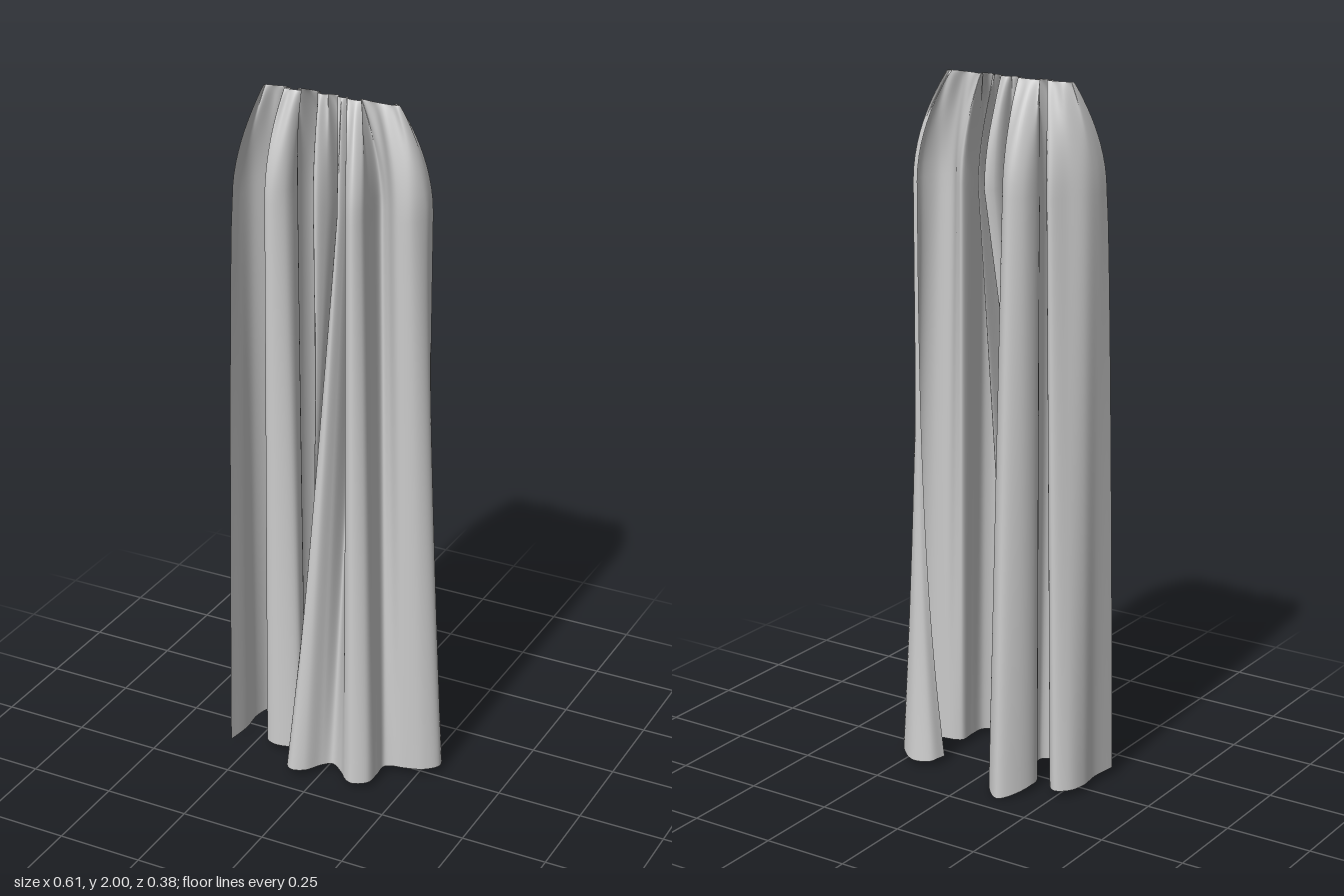
import * as THREE from 'three';

// Pleat paths as x, z pairs running from the right edge (-x) to the left edge (+x)
const HEM = [
  -0.305, 0.13, -0.295, 0.05, -0.3, -0.02, -0.285, -0.07, -0.25, -0.095,
  -0.215, -0.06, -0.225, 0.03, -0.21, 0.08, -0.17, 0.095, -0.105, 0.068,
  -0.115, 0.02, -0.175, -0.07, -0.165, -0.135, -0.12, -0.19, -0.067, -0.15,
  -0.047, -0.095, -0.07, -0.02, -0.075, 0.045, -0.09, 0.08, -0.105, 0.11,
  -0.105, 0.145, -0.09, 0.18, -0.07, 0.19, -0.035, 0.175, -0.005, 0.13,
  0.02, 0.11, 0.06, 0.135, 0.09, 0.165, 0.115, 0.175, 0.155, 0.15,
  0.16, 0.1, 0.16, 0.055, 0.18, 0.042, 0.215, 0.035, 0.27, 0.015,
  0.302, -0.025, 0.265, -0.095, 0.21, -0.13, 0.155, -0.115, 0.14, -0.07,
];
const SHOULDER = [
  -0.29, 0.085, -0.29, 0.04, -0.28, -0.005, -0.25, -0.045, -0.215, -0.085,
  -0.19, -0.05, -0.21, 0.03, -0.205, 0.06, -0.18, 0.065, -0.15, 0.04,
  -0.145, -0.01, -0.165, -0.06, -0.155, -0.11, -0.12, -0.135, -0.085, -0.11,
  -0.07, -0.05, -0.08, 0.02, -0.06, 0.045, -0.04, 0.01, -0.03, -0.06,
  -0.005, -0.075, 0.003, -0.02, 0.003, 0.04, 0.018, 0.065, 0.03, 0.04,
  0.032, -0.05, 0.042, 0.02, 0.045, 0.08, 0.075, 0.105, 0.095, 0.08,
  0.088, 0.02, 0.092, -0.04, 0.12, -0.02, 0.17, 0.03, 0.21, 0.025,
  0.235, -0.015, 0.235, -0.05, 0.23, -0.07, 0.222, -0.08, 0.21, -0.08,
];
const SHOULDER_Y = 1.7;
const { lerp, smoothstep } = THREE.MathUtils;

function pleatCurve(pairs) {
  const points = [];
  for (let i = 0; i < pairs.length; i += 2) points.push(new THREE.Vector3(pairs[i], 0, pairs[i + 1]));
  return new THREE.CatmullRomCurve3(points, false, 'centripetal');
}

// Loft a sheet from the gathered heading, through the shoulder, to the hem
function drapeGeometry(columns, headRows, bodyRows) {
  const hem = pleatCurve(HEM), shoulder = pleatCurve(SHOULDER);
  const rows = headRows + bodyRows;
  const positions = [], indices = [];
  for (let i = 0; i <= columns; i++) {
    const u = i / columns;
    const h = hem.getPoint(u), s = shoulder.getPoint(u);
    // The deep back pleat hangs lowest
    h.y = 0.02 - 0.02 * Math.max(0, -h.z - 0.1) / 0.09;
    s.y = SHOULDER_Y;
    const top = new THREE.Vector3(-0.24 + (s.x + 0.29) * 0.745, 2, -0.015 + s.z * 0.1);
    // The right edge flares early, the left edge curls only near the hem
    const ease = 1 + 2 * smoothstep(u, 0.88, 0.98) - 0.3 * (1 - smoothstep(u, 0, 0.08));
    for (let j = 0; j <= rows; j++) {
      const p = new THREE.Vector3();
      if (j <= headRows) {
        // Fabric swells quickly below the gathered edge
        const t = (j / headRows) ** 2;
        p.lerpVectors(top, s, 1 - (1 - t) ** 1.9);
        p.y = lerp(2, SHOULDER_Y, t);
        p.z += 0.006 * Math.sin(u * 150) * Math.sin(Math.PI * Math.sqrt(t)) * (1 - t);
      } else {
        const t = (j - headRows) / bodyRows;
        p.lerpVectors(s, h, t ** ease);
        p.y = lerp(s.y, h.y, t);
      }
      positions.push(p.x, p.y, p.z);
    }
  }
  const stride = rows + 1;
  for (let i = 0; i < columns; i++) {
    for (let j = 0; j < rows; j++) {
      const a = i * stride + j, b = a + stride;
      indices.push(a, a + 1, b, b, a + 1, b + 1);
    }
  }
  const geometry = new THREE.BufferGeometry();
  geometry.setAttribute('position', new THREE.Float32BufferAttribute(positions, 3));
  geometry.setIndex(indices);
  geometry.computeVertexNormals();
  return geometry;
}

export function createModel() {
  const group = new THREE.Group();
  group.name = 'curtain';
  const cloth = new THREE.MeshStandardMaterial({ color: 0xcccccc, side: THREE.DoubleSide });
  const drape = new THREE.Mesh(drapeGeometry(273, 16, 24), cloth);
  drape.name = 'pleatedDrape';
  group.add(drape);
  return group;
}
